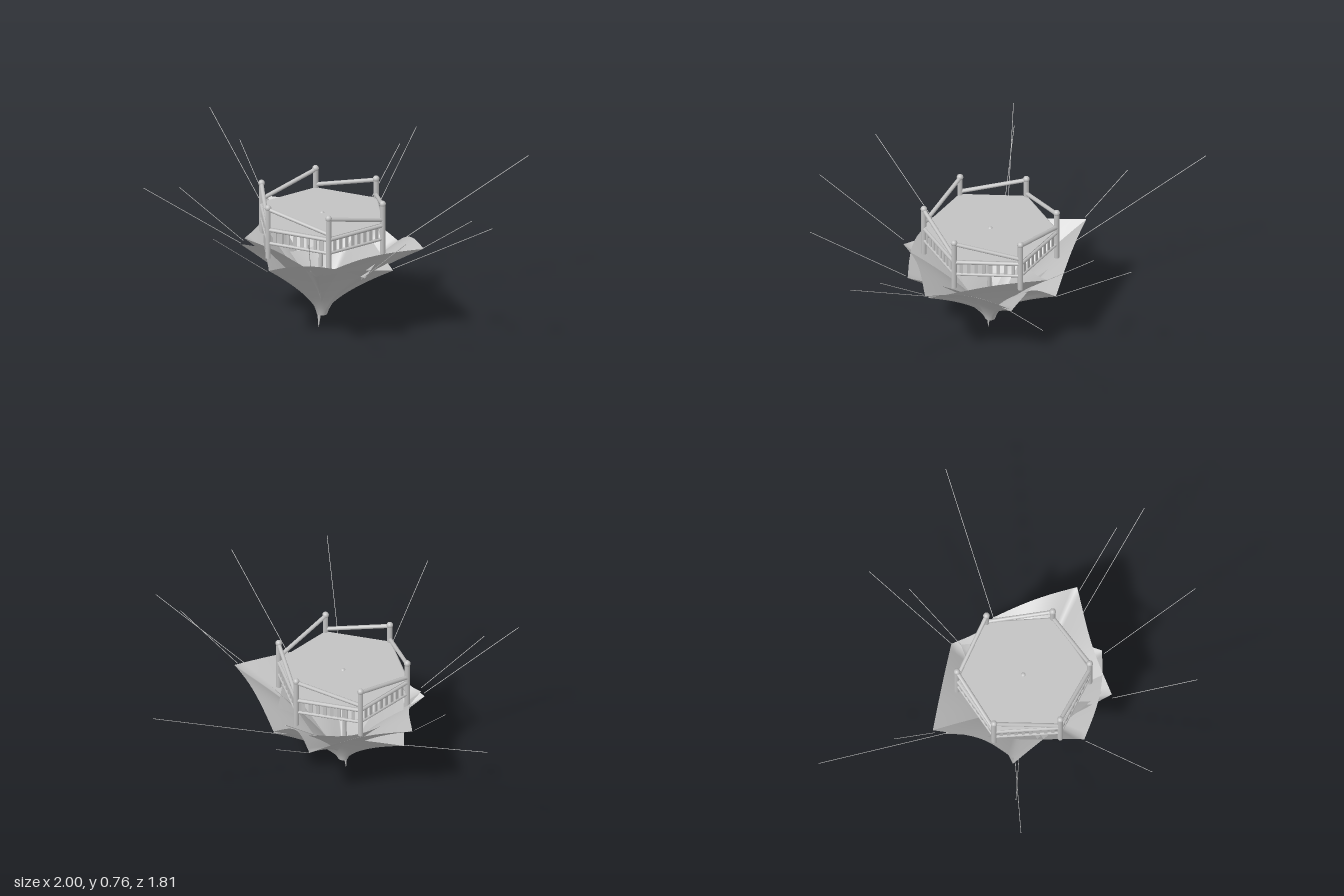
import * as THREE from 'three';

const V = (x, y, z) => new THREE.Vector3(x, y, z);
const CX = 0.085, CZ = 0.122, R = 0.315;

export function createModel() {
  const model = new THREE.Group();
  const grey = new THREE.MeshStandardMaterial({ color: 0xc2c2c2, side: THREE.DoubleSide });
  grey.name = 'grey';

  const add = (name, geometry, parent = model) => {
    const mesh = new THREE.Mesh(geometry, grey);
    mesh.name = name;
    parent.add(mesh);
    return mesh;
  };
  // round bar between two points
  const bar = (name, a, b, r0, r1 = r0, sides = 10, parent = model) => {
    const d = b.clone().sub(a);
    const mesh = add(name, new THREE.CylinderGeometry(r1, r0, d.length(), sides), parent);
    mesh.position.copy(a).addScaledVector(d, 0.5);
    mesh.quaternion.setFromUnitVectors(V(0, 1, 0), d.normalize());
    return mesh;
  };

  // hexagonal floor with a centre pole, knob and pointed foot
  const floor = add('floor', new THREE.CylinderGeometry(R, R, 0.012, 6).toNonIndexed());
  floor.geometry.computeVertexNormals();
  floor.position.set(CX, 0.582, CZ);
  bar('centrePole', V(CX, 0.09, CZ + 0.015), V(CX, 0.585, CZ), 0.01);
  bar('foot', V(CX, 0.005, CZ + 0.02), V(CX, 0.1, CZ + 0.015), 0.001, 0.012);
  add('knob', new THREE.SphereGeometry(0.013, 12, 8)).position.set(CX, 0.582, CZ);

  // posts, slatted skirt and slanting handrails around the floor
  const corner = (i, y) => V(CX + R * Math.sin(i * Math.PI / 3), y, CZ + R * Math.cos(i * Math.PI / 3));
  for (let i = 0; i < 6; i++) {
    const side = new THREE.Group();
    side.name = 'railingSide';
    model.add(side);
    bar('post', corner(i, 0.43), corner(i, 0.69), 0.013, 0.013, 12, side);
    add('postCap', new THREE.SphereGeometry(0.016, 12, 8), side).position.copy(corner(i, 0.685));
    bar('handrail', corner(i, 0.68), corner(i + 1, 0.603), 0.01, 0.01, 10, side);
    bar('upperBeam', corner(i, 0.575), corner(i + 1, 0.575), 0.01, 0.01, 10, side);
    bar('lowerBeam', corner(i, 0.507), corner(i + 1, 0.507), 0.008, 0.008, 10, side);
    for (let k = 1; k <= 8; k++) {
      const slat = add('slat', new THREE.BoxGeometry(0.016, 0.07, 0.006), side);
      slat.position.lerpVectors(corner(i, 0.542), corner(i + 1, 0.542), k / 9);
      slat.rotation.y = (i + 0.5) * Math.PI / 3;
    }
  }

  // stretched cloth: corners pulled out, edges arched, gathered at the bottom
  const sheet = (name, corners, bows, arches, bottom) => {
    const U = 14, W = 16, n = corners.length, cols = n * U, pos = [], idx = [];
    for (let j = 0; j <= W; j++) {
      const v = j / W;
      for (let c = 0; c <= cols; c++) {
        const k = Math.floor(c / U) % n, t = (c % U) / U, s = Math.sin(Math.PI * t);
        const e = corners[k].clone().lerp(corners[(k + 1) % n], t);
        const out = V(e.x - CX, 0, e.z - CZ);
        const len = out.length();
        out.divideScalar(len);
        const r = 0.025 + (len - bows[k] * s - 0.025) * Math.pow(v, 1.35);
        pos.push(CX + out.x * r, bottom + (e.y + arches[k] * s - bottom) * v, CZ + out.z * r);
        if (j < W && c < cols) {
          const a = j * (cols + 1) + c, b = a + cols + 1;
          idx.push(a, b, a + 1, a + 1, b, b + 1);
        }
      }
    }
    const g = new THREE.BufferGeometry();
    g.setAttribute('position', new THREE.Float32BufferAttribute(pos, 3));
    g.setIndex(idx);
    g.computeVertexNormals();
    add(name, g);
  };
  sheet('upperCloth',
    [V(-0.41, 0.5, 0.09), V(-0.16, 0.44, 0.4), V(0.41, 0.43, 0.39), V(0.56, 0.5, -0.13), V(0.17, 0.38, -0.26), V(-0.07, 0.38, -0.26)],
    [0.04, 0.02, 0.02, 0, 0.035, 0], [0, 0.01, 0.02, 0.04, 0.05, 0.03], 0.1);
  sheet('middleCloth',
    [V(-0.17, 0.41, 0.415), V(0.38, 0.41, 0.35), V(0.48, 0.39, -0.01), V(-0.05, 0.45, -0.21)],
    [-0.01, 0.01, 0.02, 0.01], [0.04, 0.01, 0, -0.1], 0.085);
  sheet('lowerCloth',
    [V(-0.345, 0.375, 0.1), V(0.18, 0.41, 0.5), V(0.5, 0.4, 0.17), V(0.17, 0.37, -0.26)],
    [-0.035, -0.035, 0, 0], [0.06, 0.055, 0.02, 0.01], 0.07);

  // guy ropes: far end, then tied end
  const ropes = [
    [-1, 0.735, 0, -0.345, 0.38, 0.1], [-0.63, 0.715, 0.09, -0.41, 0.5, 0.105],
    [-0.26, 0.72, -0.675, -0.07, 0.38, -0.26], [-0.15, 0.713, -0.5, -0.05, 0.45, -0.21],
    [0.33, 0.715, -0.907, 0.17, 0.37, -0.26], [0.84, 0.716, -0.21, 0.56, 0.5, -0.11],
    [1, 0.73, -0.215, 0.48, 0.4, -0.01], [0.97, 0.756, 0.265, 0.5, 0.4, 0.19],
    [0.72, 0.765, 0.655, 0.4, 0.44, 0.41], [0.295, 0.708, 0.905, 0.18, 0.41, 0.51],
    [-0.395, 0.72, 0.82, -0.16, 0.42, 0.42], [-0.32, 0.712, 0.665, -0.14, 0.44, 0.42],
  ];
  for (const [a, b, c, d, e, f] of ropes) bar('rope', V(a, b, c), V(d, e, f), 0.0015, 0.0015, 6);
  return model;
}
